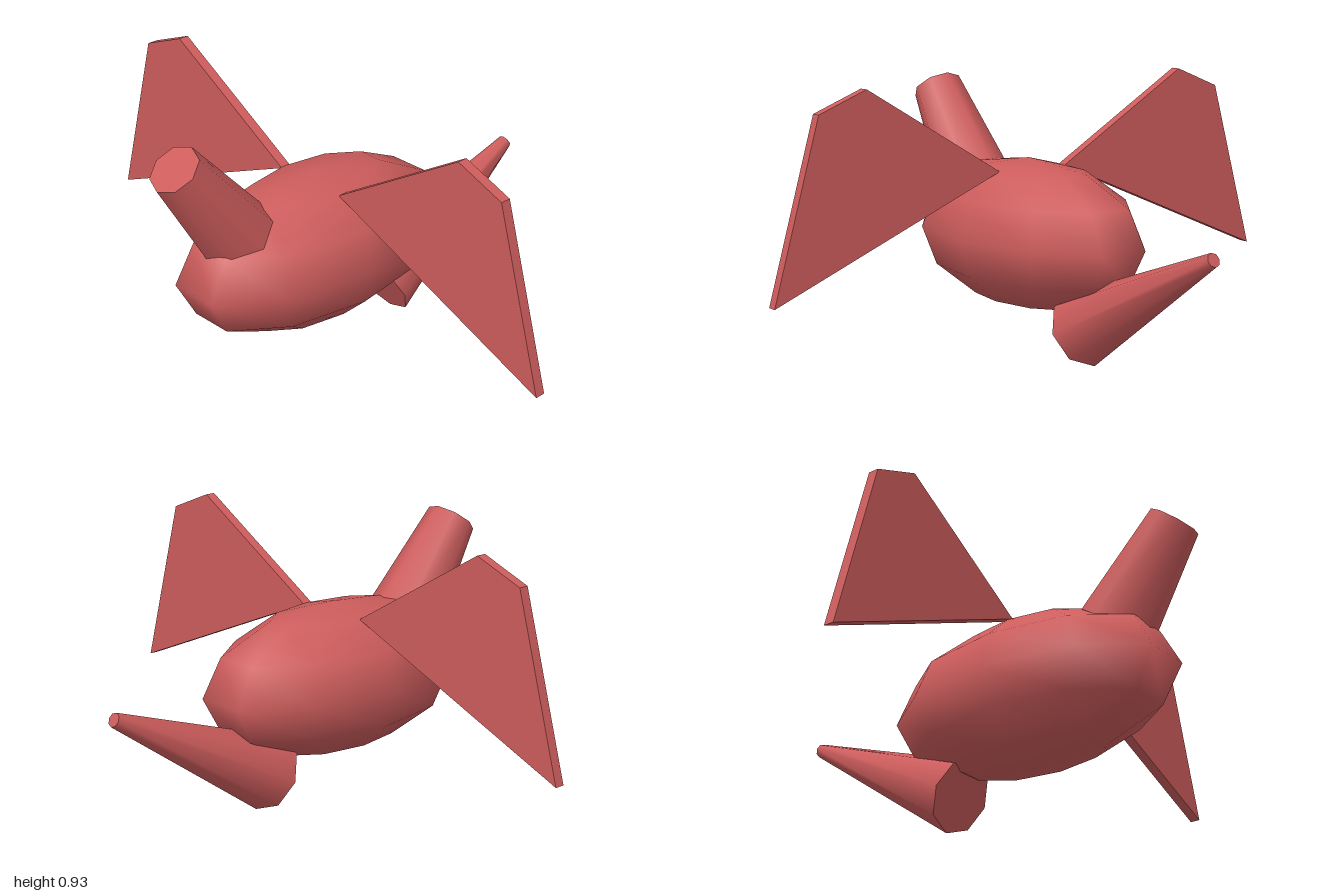
import * as THREE from 'three';

export function createModel() {
  const model = new THREE.Group();
  const skin = new THREE.MeshStandardMaterial({ color: 0xcd5c5c });
  skin.name = 'dusty red';

  const add = (name, geometry) => {
    const mesh = new THREE.Mesh(geometry, skin);
    mesh.name = name;
    model.add(mesh);
    return mesh;
  };

  // Eight-sided tapered limb in the x = 0 plane, from base [y, z] to tip [y, z]
  const limb = (name, base, baseRadius, tip, tipRadius) => {
    const dy = tip[0] - base[0];
    const dz = tip[1] - base[1];
    const mesh = add(name, new THREE.CylinderGeometry(tipRadius, baseRadius, Math.hypot(dy, dz), 8));
    mesh.position.set(0, (base[0] + tip[0]) / 2, (base[1] + tip[1]) / 2);
    mesh.rotation.x = Math.atan2(dz, dy);
  };

  // Body: a coarse sphere stretched along z
  const body = add('body', new THREE.SphereGeometry(1, 10, 6));
  body.scale.set(0.286, 0.26, 0.547);
  body.position.set(0, 0.403, 0.16);

  // Neck and tail
  limb('neck', [0.55, 0.493], 0.13, [0.866, 0.73], 0.0875);
  limb('tail', [0.117, -0.147], 0.13, [0.45, -0.79], 0.024);

  // Wings: flat four-cornered plates, mirrored
  const corners = [[0.137, 0.627], [1, 0.264], [0.828, 0.865], [0.652, 0.935]];
  for (const [name, side] of [['leftWing', 1], ['rightWing', -1]]) {
    const outline = new THREE.Shape(corners.map(([x, y]) => new THREE.Vector2(side * x, y)));
    const wing = add(name, new THREE.ExtrudeGeometry(outline, { depth: 0.036, bevelEnabled: false }));
    wing.position.z = 0.139;
  }

  return model;
}
